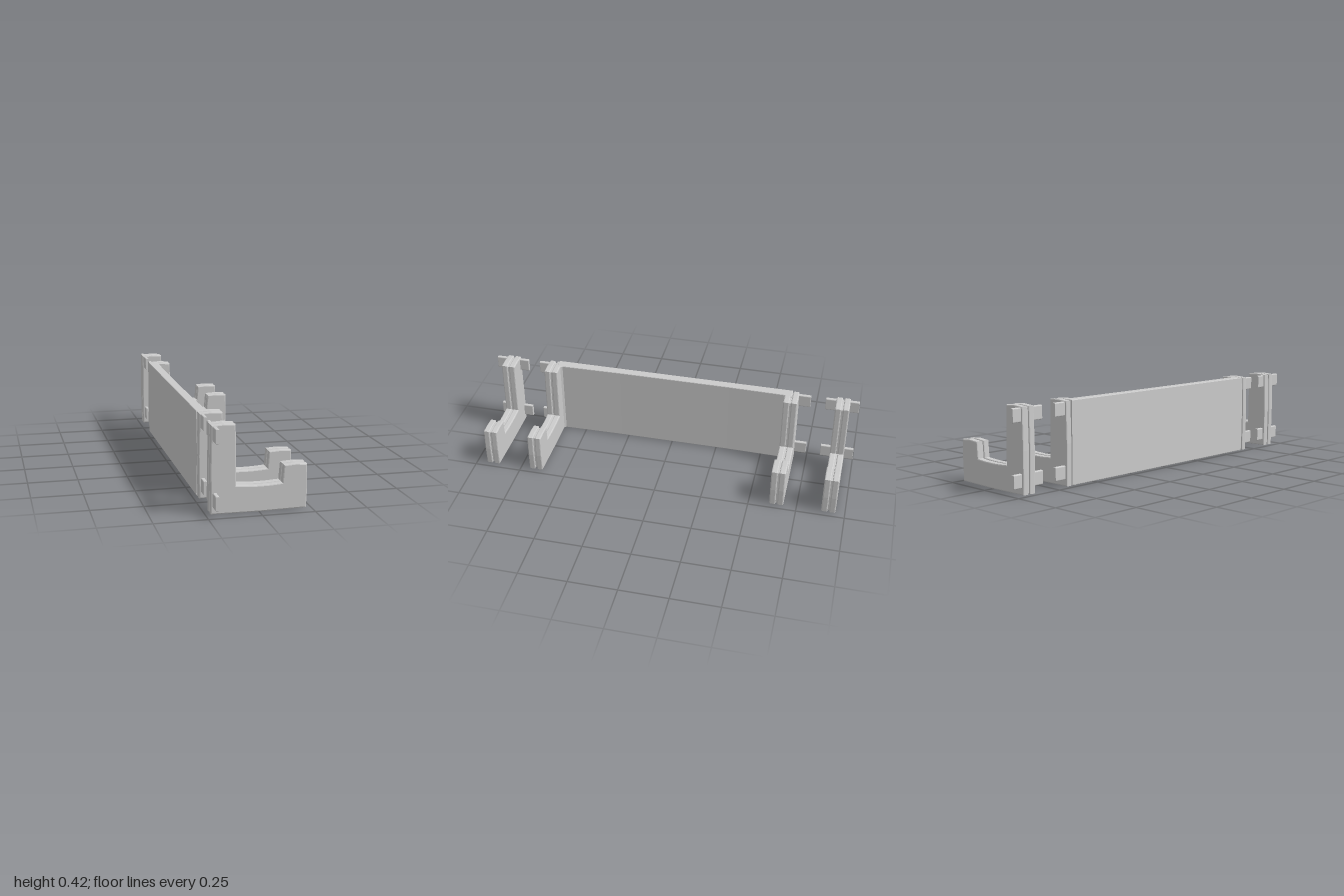
import * as THREE from 'three';

const material = new THREE.MeshStandardMaterial({ color: 0xcccccc });

// Closed outline from a list of [x, y] points
function outline(points) {
  return new THREE.Shape(points.map(([x, y]) => new THREE.Vector2(x, y)));
}

// J-shaped hook profile with a tall back, a gently dished seat and a short lip
const hookShape = outline([
  [-0.226, 0.002], [0, 0], [0.224, 0.004], [0.228, 0.1], [0.225, 0.213],
  [0.17, 0.217], [0.115, 0.213], [0.108, 0.13], [0.05, 0.126], [0, 0.125],
  [-0.05, 0.126], [-0.108, 0.13], [-0.109, 0.28], [-0.112, 0.415],
  [-0.165, 0.419], [-0.224, 0.415], [-0.229, 0.21],
]);

// Extrude a shape between two z values with bevels that stay inside its outline
function slab(name, shape, z0, z1, bevel, inset = 0) {
  const geometry = new THREE.ExtrudeGeometry(shape, {
    depth: z1 - z0 - 2 * bevel,
    bevelThickness: bevel,
    bevelSize: bevel,
    bevelOffset: -bevel - inset,
    bevelSegments: 2,
    curveSegments: 5,
  });
  geometry.translate(0, 0, z0 + bevel);
  const mesh = new THREE.Mesh(geometry, material);
  mesh.name = name;
  return mesh;
}

// Upright rounded rectangle for the connector tabs
function tabShape(x0, x1, y0, y1, r) {
  const s = new THREE.Shape();
  s.moveTo(x0 + r, y0);
  s.lineTo(x1 - r, y0);
  s.quadraticCurveTo(x1, y0, x1, y0 + r);
  s.lineTo(x1, y1 - r);
  s.quadraticCurveTo(x1, y1, x1 - r, y1);
  s.lineTo(x0 + r, y1);
  s.quadraticCurveTo(x0, y1, x0, y1 - r);
  s.lineTo(x0, y0 + r);
  s.quadraticCurveTo(x0, y0, x0 + r, y0);
  return s;
}

// Hook: two cushioned plates with a recessed core, plus two tabs from tab0 to tab1
function bracket(name, z0, z1, tab0, tab1) {
  const group = new THREE.Group();
  group.name = name;
  const mid = (z0 + z1) / 2;
  group.add(
    slab('backPlate', hookShape, z0, mid - 0.004, 0.006),
    slab('core', hookShape, mid - 0.012, mid + 0.012, 0.001, 0.007),
    slab('frontPlate', hookShape, mid + 0.004, z1, 0.006),
  );
  for (const [tabName, y] of [['lowerTab', 0.035], ['upperTab', 0.343]]) {
    group.add(slab(tabName, tabShape(-0.218, -0.199, y, y + 0.068, 0.006), tab0, tab1, 0.002));
  }
  return group;
}

// Long back panel, drawn in plan with thickened inner corners
function backPanel() {
  const plan = outline([
    [-0.229, -0.655], [-0.229, 0.638], [-0.17, 0.638], [-0.17, 0.618],
    [-0.178, 0.607], [-0.183, 0.3], [-0.183, -0.3], [-0.178, -0.624],
    [-0.17, -0.635], [-0.17, -0.655],
  ].map(([x, z]) => [x, z + 0.0085]));
  const mesh = slab('backPanel', plan, 0.002, 0.418, 0.004);
  // plan y becomes -z, extrusion depth becomes height
  mesh.geometry.rotateX(-Math.PI / 2);
  return mesh;
}

export function createModel() {
  const model = new THREE.Group();
  model.name = 'rackShelf';
  model.add(
    bracket('rearEndBracket', -0.952, -0.878, -1, -0.823),
    bracket('rearPanelBracket', -0.682, -0.608, -0.745, -0.65),
    bracket('frontPanelBracket', 0.626, 0.7, 0.665, 0.755),
    bracket('frontEndBracket', 0.87, 0.944, 0.82, 1),
    backPanel(),
  );
  return model;
}
